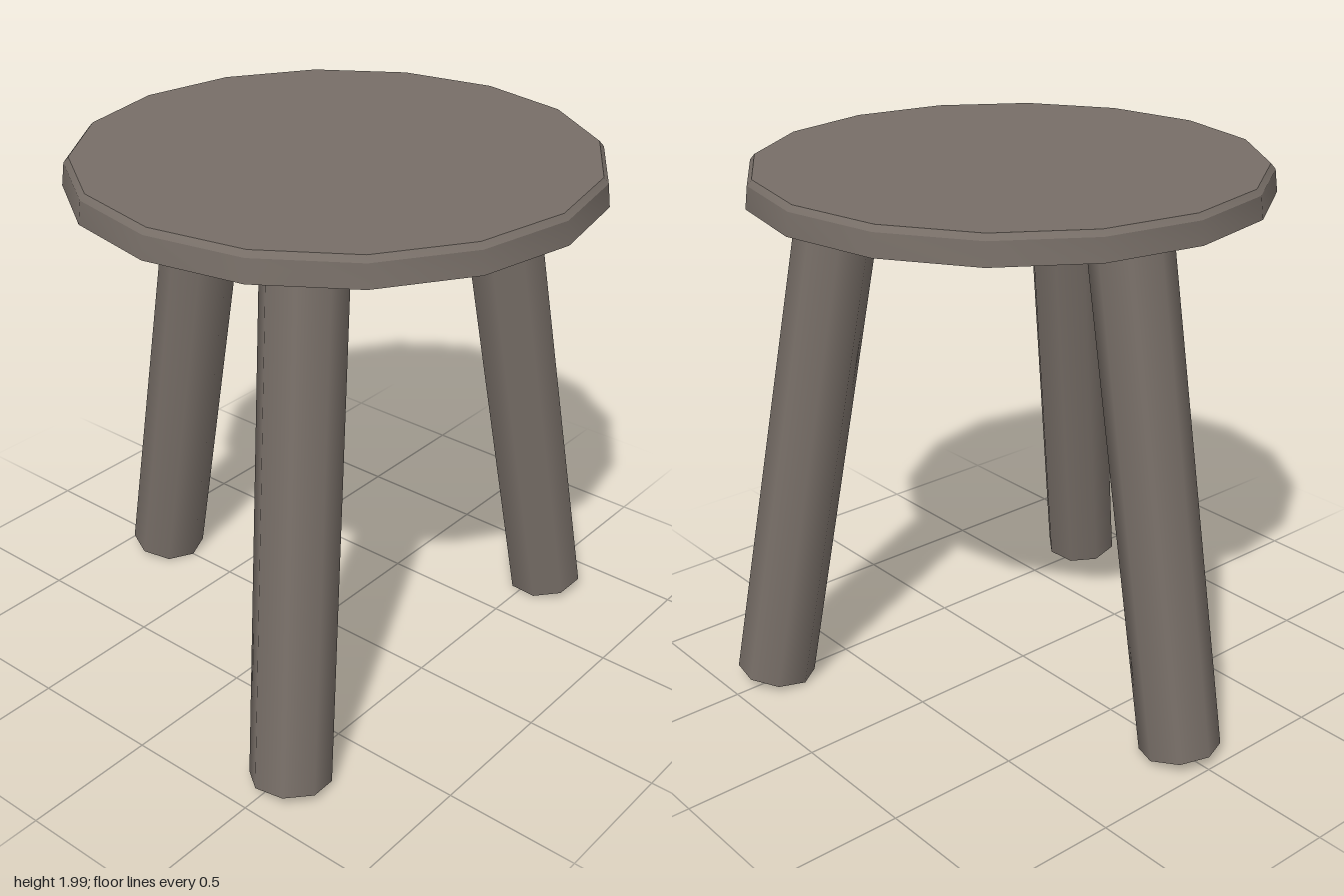
import * as THREE from 'three';
import { toCreasedNormals } from 'three/addons/utils/BufferGeometryUtils.js';

export function createModel() {
  const model = new THREE.Group();
  model.name = 'stool';
  const wood = new THREE.MeshStandardMaterial({ color: 0x776e67 });
  wood.name = 'greyBrownWood';

  // The stool's axis sits slightly forward, because the rear leg reaches past the seat
  const stool = new THREE.Group();
  stool.name = 'stoolBody';
  stool.position.z = 0.07;
  model.add(stool);

  // Sixteen-sided seat with a slight taper and a chamfered rim
  const profile = [[0, 1.887], [0.932, 1.887], [0.922, 1.967], [0.905, 1.987], [0, 1.987]]
    .map(([r, y]) => new THREE.Vector2(r, y));
  const seat = new THREE.Mesh(
    toCreasedNormals(new THREE.LatheGeometry(profile, 16), THREE.MathUtils.degToRad(28)), wood);
  seat.name = 'seat';
  stool.add(seat);

  // Three splayed octagonal legs, spaced evenly around the axis
  const foot = new THREE.Vector3(0, 0.026, -0.925);
  const top = new THREE.Vector3(0, 1.915, -0.59);
  const axis = top.clone().sub(foot);
  const legGeometry = new THREE.CylinderGeometry(0.146, 0.146, axis.length(), 8);
  ['backLeg', 'frontRightLeg', 'frontLeftLeg'].forEach((name, i) => {
    const pivot = new THREE.Group();
    pivot.name = name;
    pivot.rotation.y = i * Math.PI * 2 / 3;
    const leg = new THREE.Mesh(legGeometry, wood);
    leg.name = name + 'Post';
    leg.position.copy(foot).add(top).multiplyScalar(0.5);
    leg.rotation.x = Math.atan2(axis.z, axis.y);
    pivot.add(leg);
    stool.add(pivot);
  });

  return model;
}
